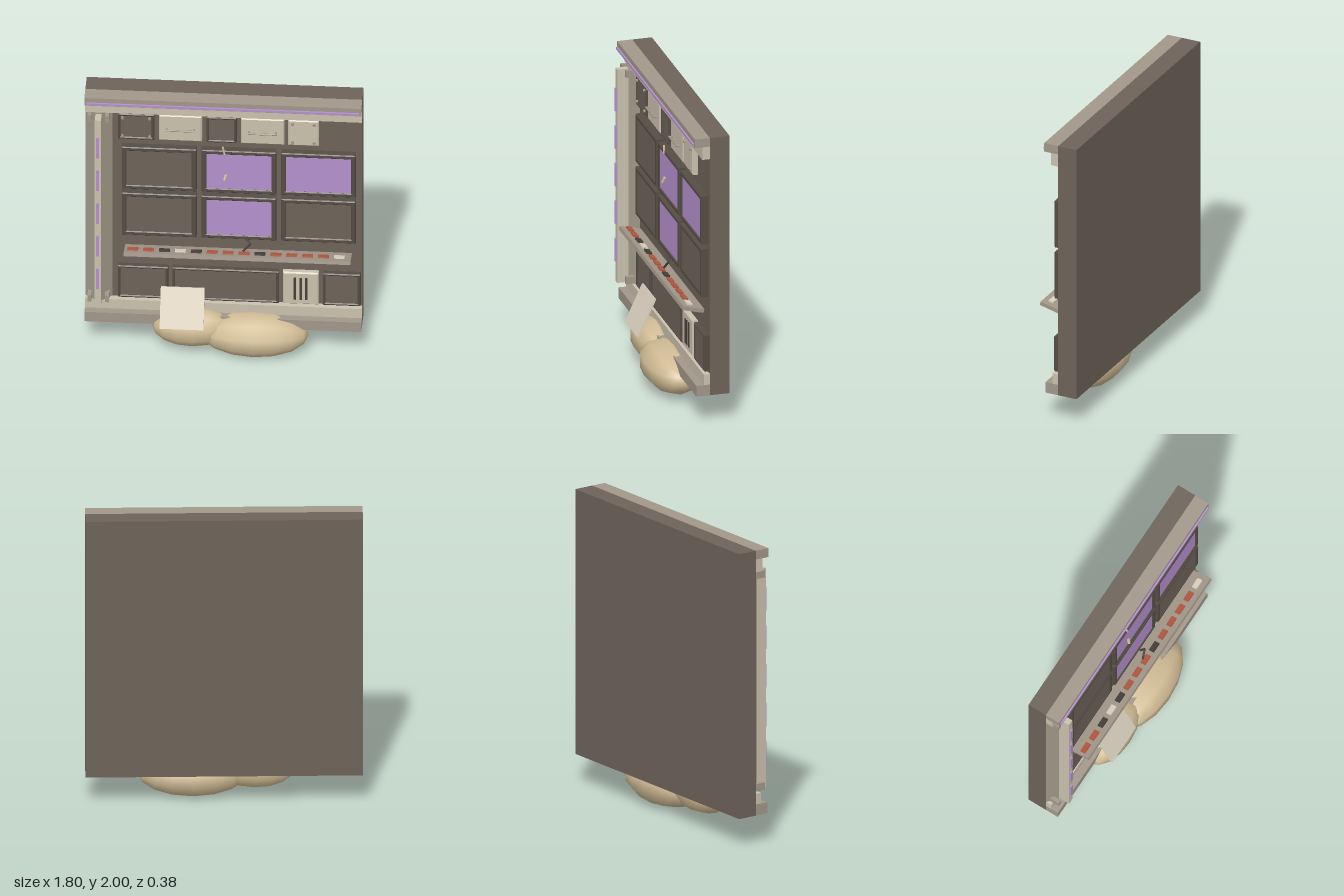
import * as THREE from 'three';

const mat = (name, color) => new THREE.MeshStandardMaterial({ name, color });

export function createModel() {
  const M = {
    wall: mat('wall brown', 0x6d6359),
    cream: mat('cream', 0xcac1ae),
    trim: mat('trim taupe', 0xa2978a),
    purple: mat('purple glow', 0xb590ce),
    bezel: mat('bezel dark', 0x544d45),
    flank: mat('shaded stone', 0x9f9888),
    paper: mat('paper', 0xdcd2c0),
    tan: mat('sack tan', 0xd0bb94),
    red: mat('button red', 0xb4583f),
    dark: mat('slot dark', 0x453f38),
  };
  const root = new THREE.Group();
  const WALL = -0.057; // front plane of the wall

  const add = (name, geo, m, parent = root) => {
    const mesh = new THREE.Mesh(geo, m);
    mesh.name = name;
    parent.add(mesh);
    return mesh;
  };
  // box given by its limits on each axis
  const box = (name, m, x0, x1, y0, y1, z0, z1, parent = root) => {
    const b = add(name, new THREE.BoxGeometry(x1 - x0, y1 - y0, z1 - z0), m, parent);
    b.position.set((x0 + x1) / 2, (y0 + y1) / 2, (z0 + z1) / 2);
    return b;
  };
  const rod = (name, m, r, a, b) => {
    const p = new THREE.Vector3(...a), q = new THREE.Vector3(...b);
    const c = add(name, new THREE.CylinderGeometry(r, r, p.distanceTo(q), 8), m);
    c.position.copy(p).lerp(q, 0.5);
    c.quaternion.setFromUnitVectors(new THREE.Vector3(0, 1, 0), q.sub(p).normalize());
    return c;
  };
  const rect = (S, x0, x1, y0, y1) => {
    const s = new S();
    s.moveTo(x0, y0).lineTo(x1, y0).lineTo(x1, y1).lineTo(x0, y1).closePath();
    return s;
  };
  // chamfered plate on the wall
  const plate = (name, m, x0, x1, y0, y1, z1) => {
    const b = 0.008;
    const geo = new THREE.ExtrudeGeometry(rect(THREE.Shape, x0 + b, x1 - b, y0 + b, y1 - b), {
      depth: z1 - WALL - b, bevelEnabled: true, bevelThickness: b, bevelSize: b, bevelSegments: 1,
    });
    geo.translate(0, 0, WALL);
    return add(name, geo, m);
  };
  // raised frame around a recessed face
  const framed = (name, face, x0, x1, y0, y1, z1, w) => {
    const b = 0.006;
    const s = rect(THREE.Shape, x0 + b, x1 - b, y0 + b, y1 - b);
    s.holes.push(rect(THREE.Path, x0 + w, x1 - w, y0 + w, y1 - w));
    const geo = new THREE.ExtrudeGeometry(s, {
      depth: z1 - WALL - b, bevelEnabled: true, bevelThickness: b, bevelSize: b, bevelSegments: 1,
    });
    geo.translate(0, 0, WALL);
    add(name + 'Frame', geo, M.bezel);
    box(name + 'Face', face, x0 + w - 0.004, x1 - w + 0.004, y0 + w - 0.004, y1 - w + 0.004, WALL, z1 - 0.007);
  };

  // wall slab and horizontal mouldings
  box('wall', M.wall, -0.9, 0.9, 0.205, 2, -0.19, WALL);
  box('cornice', M.trim, -0.9, 0.9, 1.94, 2, WALL, 0.045);
  box('corniceLight', M.purple, -0.885, 0.885, 1.95, 1.966, 0.045, 0.056);
  box('upperBand', M.cream, -0.9, 0.9, 1.853, 1.94, WALL, -0.005);
  box('lowerBand', M.cream, -0.9, 0.9, 0.28, 0.353, WALL, -0.015);
  box('baseMoulding', M.trim, -0.9, 0.9, 0.205, 0.28, WALL, 0.035);

  // side pilaster: sloped flanks, upright ridge and light strips
  const flank = new THREE.Shape();
  [[-0.9, 0.057], [-0.725, 0.057], [-0.79, 0.0], [-0.83, 0.0]]
    .forEach(([x, y], i) => (i ? flank.lineTo(x, y) : flank.moveTo(x, y)));
  flank.closePath();
  const flankGeo = new THREE.ExtrudeGeometry(flank, { depth: 1.5, bevelEnabled: false });
  flankGeo.rotateX(-Math.PI / 2).rotateY(0);
  // the profile's y becomes -z, the depth becomes y
  flankGeo.translate(0, 0.353, 0);
  add('pilasterFlanks', flankGeo, M.flank);
  box('pilasterRidge', M.cream, -0.83, -0.79, 0.357, 1.845, -0.01, 0.076);
  for (let i = 0; i < 5; i++) {
    const y = 0.583 + i * 0.262;
    box('pilasterLight', M.purple, -0.821, -0.801, y - 0.08, y + 0.08, 0.076, 0.087);
  }
  for (const x of [-0.868, -0.755])
    for (const y of [0.385, 1.825])
      box('pilasterBracket', M.trim, x - 0.013, x + 0.013, y - 0.025, y + 0.025, WALL, 0.03);

  // six screens
  const lit = [[0, 1, 0], [0, 1, 1]];
  [0.877, 1.245].forEach((y, r) => [-0.66, -0.142, 0.375].forEach((x, c) =>
    framed('screen', lit[r][c] ? M.purple : M.wall, x, x + 0.485, y, y + 0.335, -0.008, 0.025)));

  // upper row of hatches and drawers
  const bolts = (x0, x1, m) => {
    for (const x of [x0 + 0.03, x1 - 0.03])
      for (const y of [1.665, 1.81]) {
        const b = add('bolt', new THREE.CylinderGeometry(0.01, 0.01, 0.014, 8), m);
        b.rotation.x = Math.PI / 2;
        b.position.set(x, y, -0.016);
      }
  };
  framed('hatch', M.wall, -0.687, -0.45, 1.637, 1.838, -0.018, 0.012);
  bolts(-0.687, -0.45, M.trim);
  framed('hatch', M.wall, -0.112, 0.085, 1.637, 1.838, -0.018, 0.012);
  for (const [x0, x1] of [[-0.42, -0.14], [0.113, 0.395]]) {
    plate('drawer', M.cream, x0, x1, 1.637, 1.838, -0.02);
    const c = (x0 + x1) / 2;
    rod('drawerHandle', M.trim, 0.006, [c - 0.094, 1.735, 0.004], [c + 0.094, 1.735, 0.004]);
    for (const s of [-1, 1])
      rod('handlePost', M.trim, 0.006, [c + s * 0.088, 1.735, -0.025], [c + s * 0.088, 1.735, 0.004]);
  }
  plate('boltedPlate', M.cream, 0.42, 0.62, 1.637, 1.838, -0.02);
  bolts(0.42, 0.62, M.trim);

  // lower row of panels and the vent
  for (const [x0, x1] of [[-0.687, -0.36], [-0.333, 0.36], [0.645, 0.89]])
    framed('lowerPanel', M.wall, x0, x1, 0.368, 0.62, -0.02, 0.012);
  plate('vent', M.cream, 0.385, 0.618, 0.368, 0.62, -0.02);
  for (const x of [0.465, 0.502, 0.539])
    box('ventSlot', M.dark, x - 0.008, x + 0.008, 0.407, 0.58, -0.022, -0.015);

  // tilted console shelf with a row of buttons
  const shelf = new THREE.Group();
  shelf.name = 'console';
  shelf.position.set(0.097, 0.787, 0.035);
  shelf.rotation.x = -0.24;
  root.add(shelf);
  box('consoleShelf', M.trim, -0.737, 0.737, -0.013, 0.013, -0.073, 0.073, shelf);
  [...'rrdcdrrrdrrrrc'].forEach((k, i) => {
    const x = -0.682 + i * 0.1033;
    box('button', { r: M.red, d: M.dark, c: M.paper }[k], x - 0.035, x + 0.035, 0.013, 0.024, 0.0, 0.036, shelf);
  });

  // small levers and loose stalks
  rod('lever', M.dark, 0.007, [0.13, 0.81, 0.03], [0.178, 0.865, 0.015]);
  rod('lever', M.dark, 0.007, [0.178, 0.865, 0.015], [0.145, 0.895, 0.0]);
  rod('stalk', M.tan, 0.007, [-0.004, 1.61, -0.01], [0.008, 1.555, -0.008]);
  rod('stalk', M.tan, 0.01, [0.007, 1.355, 0.004], [0.018, 1.392, -0.01]);

  // stuffed sacks below the wall
  const sack = (name, x, y, z, sx, sy, sz, tilt) => {
    const geo = new THREE.SphereGeometry(1, 10, 8);
    geo.rotateZ(Math.PI / 2);
    const s = add(name, geo, M.tan);
    s.scale.set(sx, sy, sz);
    s.position.set(x, y, z);
    s.rotation.z = tilt;
  };
  sack('largeSack', 0.2, 0.152, 0.01, 0.355, 0.15, 0.185, 0);
  sack('smallSack', -0.2, 0.187, 0.01, 0.26, 0.135, 0.135, 0.03);

  // leaning note sheet
  const note = add('noteSheet', new THREE.BoxGeometry(0.285, 0.28, 0.014), M.paper);
  note.position.set(-0.262, 0.367, 0.073);
  note.rotation.x = -0.43;

  return root;
}
